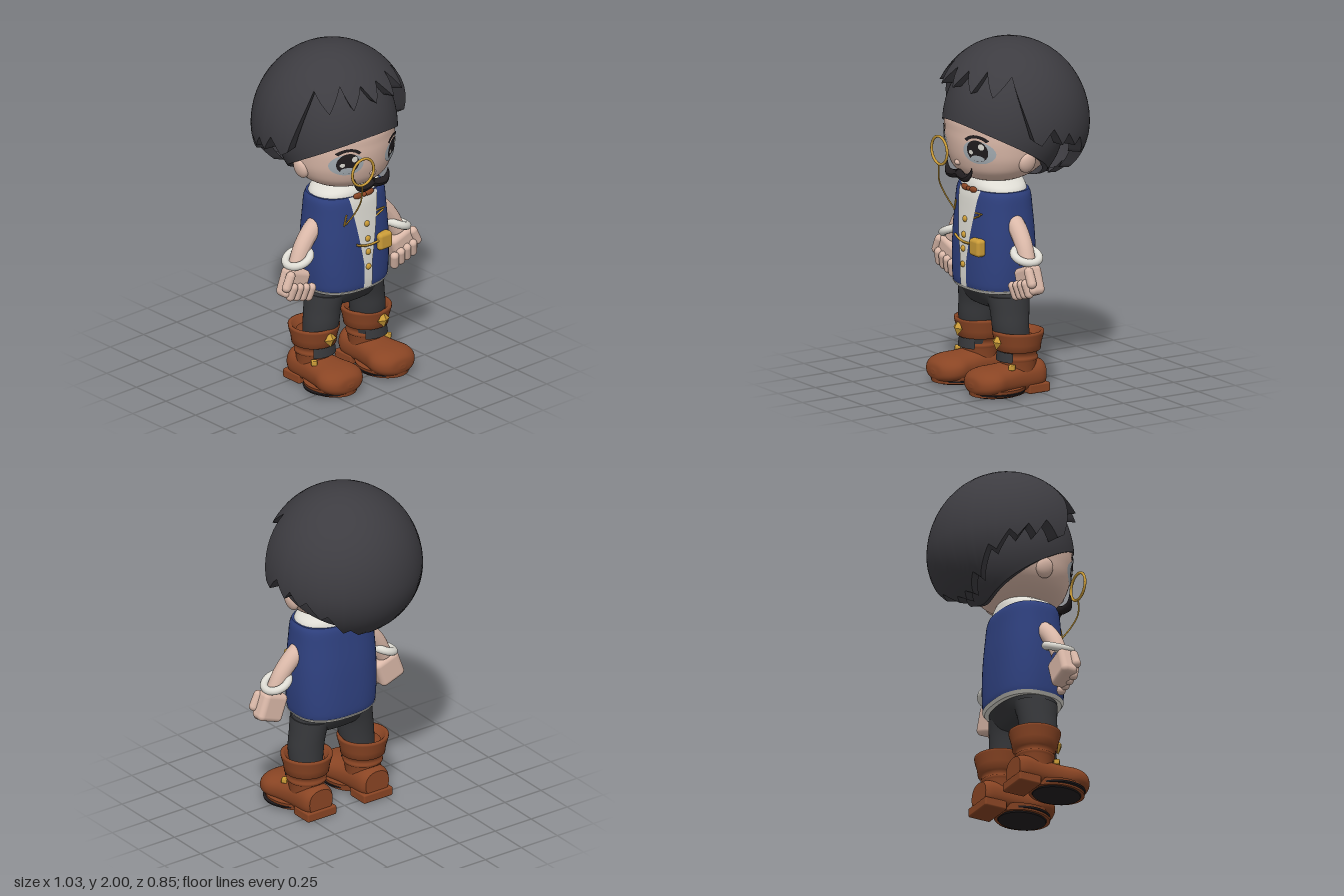
import * as THREE from 'three';
import { RoundedBoxGeometry } from 'three/addons/geometries/RoundedBoxGeometry.js';

const V = (x, y, z) => new THREE.Vector3(x, y, z);
const mat = (name, color, open) => {
  const m = new THREE.MeshStandardMaterial({ color });
  m.name = name;
  if (open) m.side = THREE.DoubleSide;
  return m;
};

// Grid surface: fn(i, j) gives a point; columns may wrap around.
function grid(rows, cols, wrap, fn) {
  const pos = [], idx = [];
  for (let i = 0; i < rows; i++) for (let j = 0; j < cols; j++) pos.push(...fn(i, j));
  for (let i = 0; i < rows - 1; i++) for (let j = 0; j < (wrap ? cols : cols - 1); j++) {
    const k = (j + 1) % cols, a = i * cols + j, b = i * cols + k, c = a + cols, d = b + cols;
    idx.push(a, b, d, a, d, c);
  }
  const g = new THREE.BufferGeometry();
  g.setAttribute('position', new THREE.Float32BufferAttribute(pos, 3));
  g.setIndex(idx);
  g.computeVertexNormals();
  return g;
}

// Sections [y, centreX, centreZ, radiusX, radiusZ], smoothly refined.
function refine(rows, steps = 5) {
  const a = new THREE.CatmullRomCurve3(rows.map(r => V(r[0], r[3], r[4])), false, 'catmullrom', 0.5);
  const b = new THREE.CatmullRomCurve3(rows.map(r => V(r[1], r[2], 0)), false, 'catmullrom', 0.5);
  const n = (rows.length - 1) * steps;
  return Array.from({ length: n + 1 }, (_, i) => {
    const p = a.getPoint(i / n), q = b.getPoint(i / n);
    return [p.x, q.x, q.y, Math.max(p.y, 0), Math.max(p.z, 0)];
  });
}
const spow = (v, e) => Math.sign(v) * Math.abs(v) ** e;

// Closed loft through superellipse sections, with sharp flat ends.
function loft(rows, n = 2, cols = 40) {
  const f = rows[0], l = rows[rows.length - 1];
  const flat = r => [r[0], r[1], r[2], 0, 0];
  const all = [flat(f), f, ...rows, l, flat(l)];
  return grid(all.length, cols, true, (i, j) => {
    const [y, cx, cz, rx, rz] = all[i], t = j / cols * Math.PI * 2;
    return [cx + rx * spow(Math.sin(t), 2 / n), y, cz + rz * spow(Math.cos(t), 2 / n)];
  });
}

// Front depth of a loft at x, y.
function frontZ(rows, n, x, y) {
  let i = 0;
  while (i < rows.length - 2 && rows[i + 1][0] < y) i++;
  const a = rows[i], b = rows[i + 1], t = THREE.MathUtils.clamp((y - a[0]) / (b[0] - a[0]), 0, 1);
  const m = k => a[k] + (b[k] - a[k]) * t;
  return m(2) + m(4) * Math.max(0, 1 - Math.abs(x / m(3)) ** n) ** (1 / n);
}

// Tube along points, with radius scaled by taper(t).
function tube(points, r, taper = () => 1, seg = 24, rad = 10) {
  const c = new THREE.CatmullRomCurve3(points.map(p => V(...p)));
  const g = new THREE.TubeGeometry(c, seg, r, rad), p = g.attributes.position, v = V(0, 0, 0);
  for (let i = 0; i < p.count; i++) {
    const t = Math.floor(i / (rad + 1)) / seg, o = c.getPointAt(t);
    v.fromBufferAttribute(p, i).sub(o).multiplyScalar(taper(t)).add(o);
    p.setXYZ(i, v.x, v.y, v.z);
  }
  g.computeVertexNormals();
  return g;
}

// Domed hair layer cut off at edge(angle), with its rim turned inwards.
function dome({ cy, cz, rx, rz, up, down, edge, rim }) {
  const cols = 180, n = 22;
  return grid(n + 3, cols, true, (i, j) => {
    const t = j / cols * 2 * Math.PI, e = edge(t), h = e - cy;
    const end = Math.acos(THREE.MathUtils.clamp(h / (h > 0 ? up : down), -1, 1));
    const s = Math.max(0, i - 2) / n, phi = end * (1 - s);
    const c = Math.cos(phi), k = Math.sin(phi) * (i === 0 ? rim : 1);
    return [rx * k * Math.sin(t), cy + c * (c > 0 ? up : down), cz + rz * k * Math.cos(t)];
  });
}

export function createModel() {
  const root = new THREE.Group();
  const hair = mat('hair charcoal', 0x3d3c41, true), skin = mat('skin', 0xdbb9a9);
  const navy = mat('navy cloth', 0x2f4180), white = mat('white cloth', 0xdedcd4, true);
  const brown = mat('brown leather', 0x8a4524, true), gold = mat('gold', 0xcb9c38);
  const dark = mat('dark trousers', 0x37383b, true), grey = mat('eye grey', 0xa8b0b6, true);
  const ink = mat('ink', 0x211d1f, true);
  const add = (name, geo, m, pos = [0, 0, 0], rot = [0, 0, 0], scale = [1, 1, 1]) => {
    const o = new THREE.Mesh(geo, m);
    o.name = name;
    o.position.set(...pos); o.rotation.set(...rot); o.scale.set(...scale);
    root.add(o);
    return o;
  };
  const ball = new THREE.SphereGeometry(1, 24, 16);

  // Head
  const head = refine([[1.205, 0, .13, .03, .03], [1.222, 0, .13, .16, .145], [1.27, 0, .12, .25, .225],
    [1.34, 0, .10, .297, .278], [1.42, 0, .09, .315, .305], [1.5, 0, .085, .32, .315],
    [1.6, 0, .08, .31, .31], [1.75, 0, .08, .2, .2]]);
  add('head', loft(head, 2, 48), skin);
  add('nose', ball, skin, [0, 1.325, .37], [0, 0, 0], [.022, .018, .02]);

  // Painted face details hug the head
  const paint = (name, m, x, y, rx, ry, lift, arc = [0, Math.PI * 2], inner = 0.001) => {
    const g = new THREE.RingGeometry(inner, 1, 28, 6, ...arc), p = g.attributes.position;
    for (let i = 0; i < p.count; i++) {
      const px = x + p.getX(i) * rx, py = y + p.getY(i) * ry;
      p.setXYZ(i, px, py, frontZ(head, 2, px, py) + lift);
    }
    g.computeVertexNormals();
    add(name, g, m);
  };
  for (const s of [1, -1]) {
    paint('eyeWhite', grey, s * .165, 1.41, .085, .068, .003);
    paint('iris', ink, s * .165, 1.418, .056, .064, .005);
    paint('irisGlow', grey, s * .165, 1.375, .036, .018, .007);
    paint('eyeGlint', white, s * .165 + .028, 1.445, .015, .018, .008);
    paint('eyeGlint', white, s * .165 - .03, 1.41, .012, .013, .008);
    paint('eyebrow', ink, s * .165, 1.43, .085, .082, .006, [.7, 1.75], .78);
    add('ear', ball, skin, [s * .297, 1.345, .1], [0, 0, s * -.25], [.03, .06, .052]);
    add('moustacheHalf', tube([[0, 1.262, .365], [s * .04, 1.25, .37], [s * .09, 1.252, .372],
      [s * .12, 1.28, .365], [s * .125, 1.312, .36]], .024, t => t < .5 ? 1 : 1.02 - (t - .5) * 1.9), ink);
  }

  // Hair: close cap under a jagged outer mop
  add('hairCap', dome({ cy: 1.5, cz: .07, rx: .345, rz: .34, up: .45, down: .37, rim: .88,
    edge: t => 1.38 + .187 * Math.cos(t) }), hair);
  const jags = [[0, 1.76], [10, 1.86], [22, 1.75], [32, 1.87], [42, 1.74], [58, 1.85], [66, 1.68], [74, 1.5],
    [80, 1.47], [86, 1.53], [90, 1.56], [98, 1.46], [104, 1.52], [112, 1.44], [118, 1.48], [128, 1.37],
    [134, 1.4], [146, 1.25], [152, 1.28], [164, 1.2], [172, 1.22], [180, 1.19]];
  add('hairMop', dome({ cy: 1.52, cz: .022, rx: .458, rz: .445, up: .48, down: .4, rim: .82, edge: t => {
    const d = Math.abs(((t * 180 / Math.PI + 180) % 360) - 180);
    const i = Math.max(1, jags.findIndex(k => k[0] >= d - 1e-6)), [a, b] = [jags[i - 1], jags[i]];
    return a[1] + (b[1] - a[1]) * (d - a[0]) / (b[0] - a[0]);
  } }), hair);

  // Monocle and its cord
  add('monocleRim', new THREE.TorusGeometry(.08, .008, 10, 40), gold, [-.115, 1.375, .42]);
  add('monocleCord', tube([[-.12, 1.29, .42], [-.125, 1.2, .415], [-.13, 1.11, .37], [-.14, 1.02, .305]], .0045), gold);

  // Waistcoat, shirt front and collar
  const body = refine([[.6, 0, .13, .25, .195], [.64, 0, .13, .256, .2], [.75, 0, .13, .262, .2],
    [.9, 0, .13, .26, .194], [1.05, 0, .13, .25, .18], [1.13, 0, .13, .244, .171], [1.165, 0, .13, .232, .16]]);
  add('waistcoat', loft(body, 2.5, 48), navy);
  add('shirtHem', loft([[.583, 0, .13, .242, .188], [.602, 0, .13, .255, .2]], 2.5, 48), white);
  add('collar', loft(refine([[1.15, 0, .13, .23, .16], [1.185, 0, .13, .21, .155],
    [1.215, 0, .125, .16, .145], [1.235, 0, .125, .13, .13]]), 2.2), white);
  const bz = (x, y) => frontZ(body, 2.5, x, y);
  add('shirtFront', grid(20, 9, false, (i, j) => {
    const y = .6 + .565 * i / 19, w = y < .75 ? .03 : .03 + .075 * (y - .75) / .415, x = w * (j / 4 - 1);
    return [x, y, bz(x, y) + .006];
  }), white);
  for (const y of [.99, .9, .82, .73]) add('button', ball, gold, [0, y, bz(0, y) + .008], [0, 0, 0], [.018, .018, .012]);
  for (const s of [1, -1]) add('bowTieWing', ball, brown, [s * .042, 1.163, .295], [0, 0, s * .1], [.034, .018, .014]);
  add('bowTieKnot', ball, brown, [0, 1.163, .3], [0, 0, 0], [.013, .013, .014]);

  // Watch, chain and breast pins
  add('pocketWatch', new RoundedBoxGeometry(.098, .1, .06, 4, .02), gold, [.125, .85, .322]);
  add('watchChain', tube([[-.09, .885], [-.04, .868], [.02, .86], [.08, .862]].map(([x, y]) => [x, y, bz(x, y) + .012]), .007), gold);
  for (const [x, y, a] of [[.115, 1.04, .05], [.105, 1.02, .4], [-.14, 1.04, 1.3]])
    add('pin', new THREE.CapsuleGeometry(.005, .06, 4, 8), gold, [x, y, bz(x, y) + .006], [0, 0, a - Math.PI / 2]);

  // Hips
  add('hips', loft(refine([[.47, 0, .13, .1, .06], [.49, 0, .13, .2, .1], [.53, 0, .13, .245, .13], [.59, 0, .13, .238, .165]]), 2.3), dark);

  const cuff = [[.098, .12], [.104, .19], [.113, .197], [.113, .212], [.104, .219], [.108, .245], [.127, .25],
    [.132, .29], [.147, .345], [.147, .358], [.135, .362], [.125, .355], [.1, .32]].map(p => new THREE.Vector2(...p));
  for (const s of [1, -1]) {
    // Arm, bracelet and fist
    add('arm', tube([[s * .2, 1.0, .14], [s * .255, .965, .14], [s * .33, .88, .145], [s * .38, .78, .152]], .054,
      t => 1 - .12 * t, 24, 20), skin);
    add('shoulder', ball, skin, [s * .225, .985, .14], [0, 0, 0], [.056, .056, .054]);
    add('bracelet', new THREE.TorusGeometry(.073, .023, 14, 36), white, [s * .365, .83, .15], [Math.PI / 2, s * -.42, 0]);
    add('palm', new RoundedBoxGeometry(.165, .17, .1, 4, .03), skin, [s * .405, .69, .155], [0, 0, s * .35]);
    for (let i = 0; i < 4; i++) add('finger', new THREE.CapsuleGeometry(.026, .06, 6, 12), skin,
      [s * (.318 + i * .045), .622 + i * .013, .2], [.25, 0, s * .2]);
    add('thumb', new THREE.CapsuleGeometry(.027, .07, 6, 12), skin, [s * .474, .728, .195], [0, 0, s * .45]);

    // Trouser leg
    add('trouserLeg', loft(refine([[.2, s * .185, .11, .085, .085], [.36, s * .175, .13, .1, .105],
      [.47, s * .162, .13, .1, .115], [.56, s * .14, .13, .11, .13]])), dark);

    // Boot
    add('bootShaft', new THREE.LatheGeometry(cuff, 40), brown, [s * .195, 0, .095]);
    add('bootGap', new THREE.CylinderGeometry(.118, .125, .055, 20, 1, true, -.75, 1.5), dark, [s * .195, .218, .095]);
    const foot = loft(refine([[-.045, s * .195, -.1, .08, .075], [0, s * .195, -.1, .1, .09], [.12, s * .195, -.095, .106, .088],
      [.22, s * .195, -.09, .122, .083], [.3, s * .195, -.088, .145, .078], [.36, s * .195, -.083, .13, .07],
      [.4, s * .195, -.078, .085, .047], [.412, s * .195, -.075, .02, .012]]), 2.3);
    foot.rotateX(Math.PI / 2);
    add('bootFoot', foot, brown);
    add('bootHeel', new RoundedBoxGeometry(.2, .055, .14, 2, .01), brown, [s * .195, .0275, .012]);
    add('bootWelt', loft([[.012, s * .195, .235, .135, .165], [.05, s * .195, .235, .145, .17]]), brown);
    add('bootSole', loft([[.022, s * .2, .24, .152, .155], [.032, s * .2, .24, .155, .158]]), ink);
    add('solePatch', loft([[.004, s * .195, .235, .115, .14], [.013, s * .195, .235, .12, .145]]), ink);
    add('bootDiamond', new THREE.OctahedronGeometry(1), gold, [s * .2, .305, .24], [-.1, 0, 0], [.045, .045, .025]);
    add('bootStud', new RoundedBoxGeometry(.034, .03, .034, 2, .006), gold, [s * .278, .167, .19], [0, s * .6, 0]);
  }
  return root;
}
